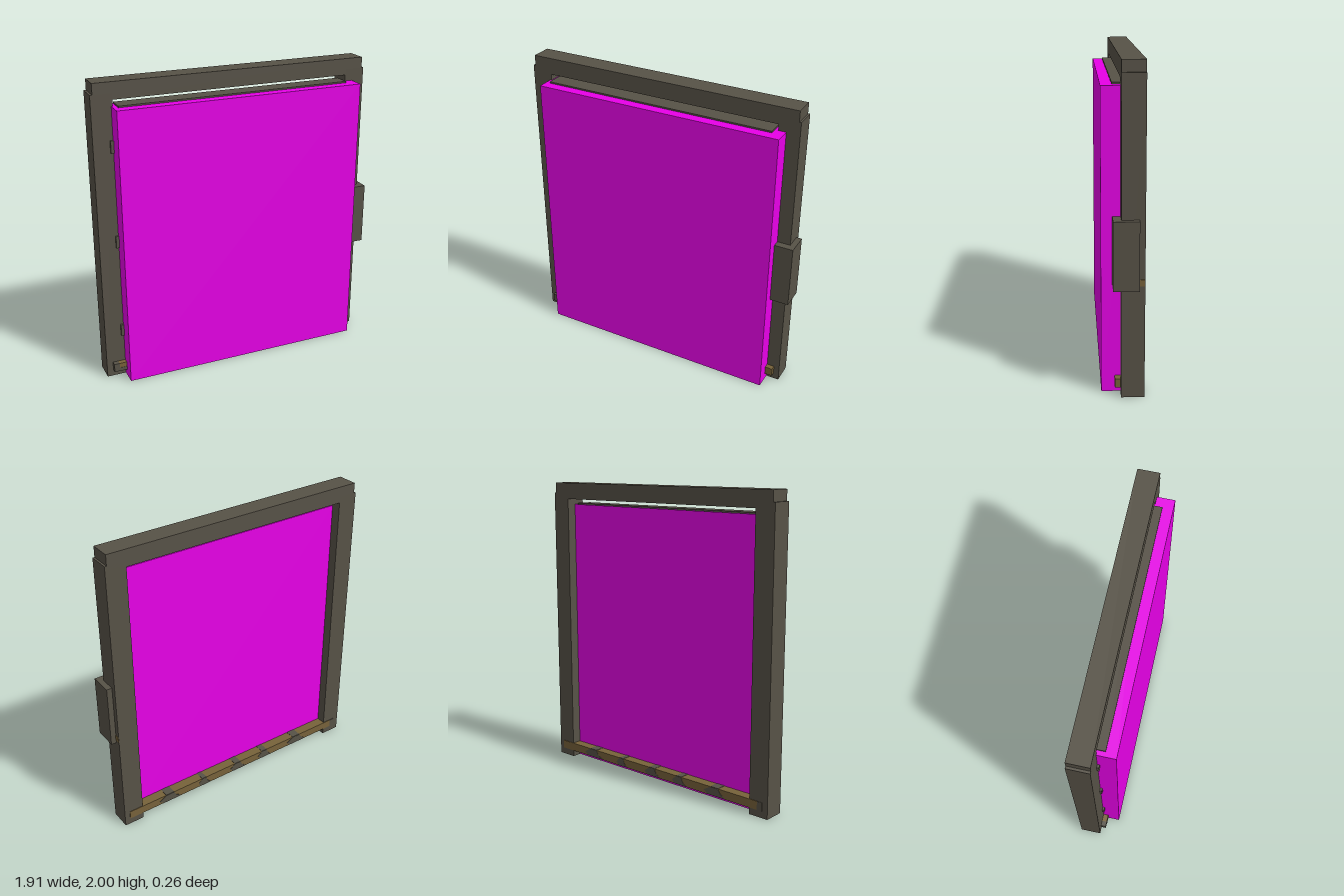
import * as THREE from 'three';

const mat = (name, color) => {
  const m = new THREE.MeshStandardMaterial({ color });
  m.name = name;
  return m;
};

export function createModel() {
  const dark = mat('darkMetal', 0x575247);
  const brown = mat('rustBrown', 0x77623a);
  const magenta = mat('magentaPanel', 0xff00ff);
  const model = new THREE.Group();
  model.name = 'framedDoor';

  // Box given by its lower and upper limits on each axis
  const box = (name, material, [x0, x1], [y0, y1], [z0, z1]) => {
    const mesh = new THREE.Mesh(new THREE.BoxGeometry(x1 - x0, y1 - y0, z1 - z0), material);
    mesh.position.set((x0 + x1) / 2, (y0 + y1) / 2, (z0 + z1) / 2);
    mesh.name = name;
    model.add(mesh);
    return mesh;
  };

  // Door frame: two posts and a slightly narrower lintel
  const frameZ = [-0.125, 0.015];
  box('leftPost', dark, [0.78, 0.917], [0, 1.93], frameZ);
  box('rightPost', dark, [-0.957, -0.82], [0, 1.93], frameZ);
  box('lintel', dark, [-0.942, 0.904], [1.89, 2], frameZ);

  // Thick slab and the dark door leaf whose top edge stands out of it
  box('slab', magenta, [-0.83, 0.83], [0, 1.85], [-0.06, 0.13]);
  box('doorLeaf', dark, [-0.8, 0.76], [0.03, 1.86], [-0.05, 0.063]);

  // Lock case around the left post, with a worn patch behind it
  box('lockCase', dark, [0.79, 0.953], [0.68, 1.097], [-0.09, 0.063]);
  box('wornPatch', brown, [0.914, 0.92], [0.7, 0.74], [-0.123, -0.085]);

  // Hinges on the right post
  for (const y of [0.335, 0.97, 1.6]) {
    box('hinge', dark, [-0.85, -0.8], [y - 0.04, y + 0.04], [-0.02, 0.03]);
  }

  // Threshold bar running through both posts
  const barZ = [-0.129, 0.05];
  box('threshold', brown, [-0.88, 0.88], [0.045, 0.102], barZ);
  box('thresholdEnd', dark, [-0.916, -0.88], [0.045, 0.102], barZ);
  box('thresholdFrontStain', dark, [-0.88, -0.8], [0.045, 0.07], [0.049, 0.052]);

  // Dark stains on the back and top of the threshold: centre x, half width
  for (const [x, w] of [[0.56, 0.09], [0.28, 0.05], [-0.01, 0.07], [-0.25, 0.06], [-0.55, 0.09]]) {
    const shape = new THREE.Shape([
      [-w, 0.046], [w * 0.6, 0.046], [w, 0.07], [w * 0.4, 0.101], [-w * 0.3, 0.101], [-w * 0.5, 0.072],
    ].map(([px, py]) => new THREE.Vector2(px, py)));
    const stain = new THREE.Mesh(
      new THREE.ExtrudeGeometry(shape, { depth: 0.004, bevelEnabled: false }), dark);
    stain.position.set(x, 0, -0.131);
    stain.name = 'thresholdBackStain';
    model.add(stain);
    box('thresholdTopStain', dark, [x - w * 0.3, x + w * 0.4], [0.101, 0.104], [-0.129, -0.06]);
  }
  return model;
}
